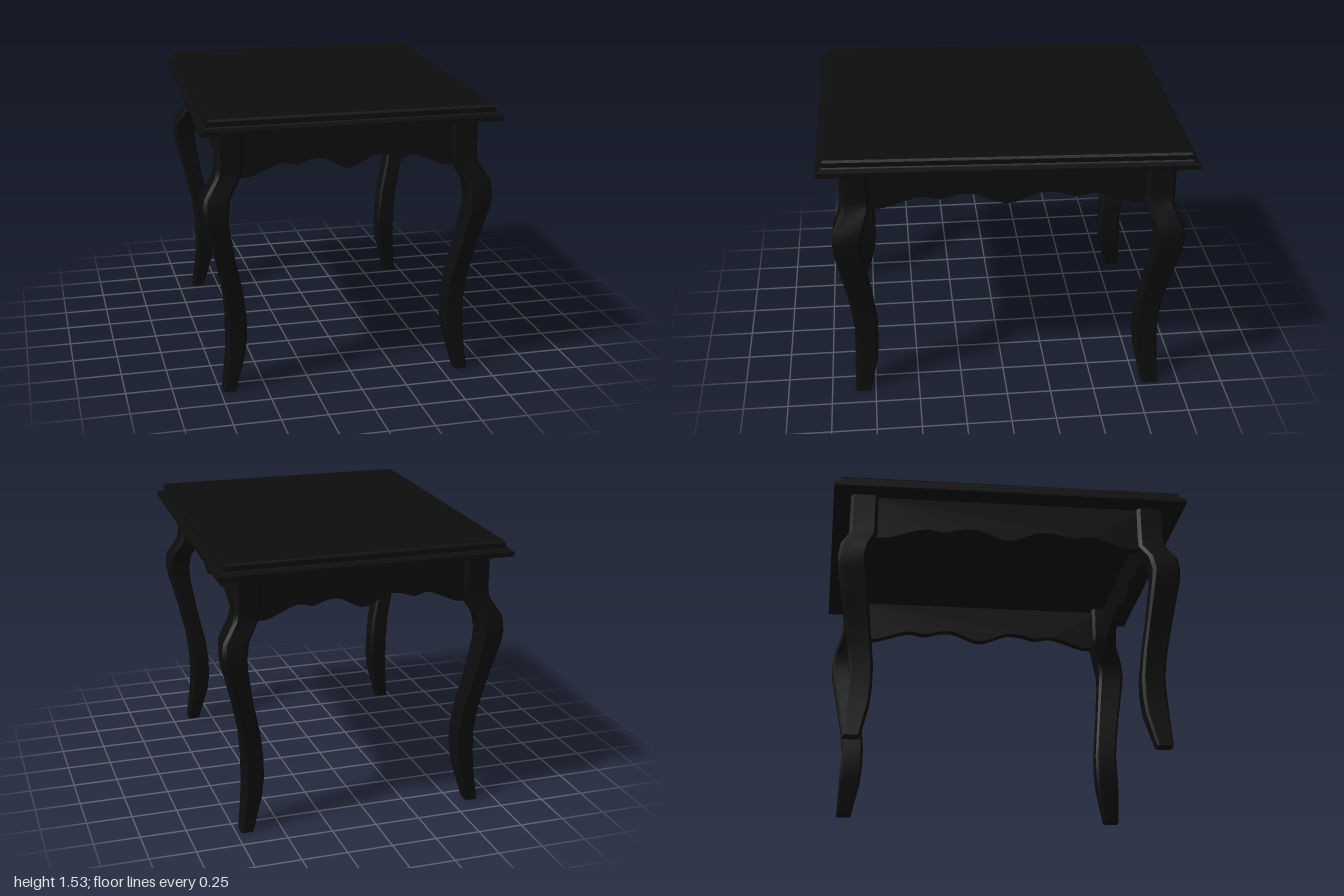
import * as THREE from 'three';
import { toCreasedNormals } from 'three/addons/utils/BufferGeometryUtils.js';

const material = new THREE.MeshStandardMaterial({ color: 0x0d0d0d });

// the whole table leans slightly out of square, seen from above
const skew = new THREE.Matrix4().set(
  1, 0, -0.0465, 0,
  0, 1, 0, 0,
  0.003, 0, 1, 0,
  0, 0, 0, 1
);

function addPart(group, name, geometry, crease = 0.6) {
  const mesh = new THREE.Mesh(toCreasedNormals(geometry.applyMatrix4(skew), crease), material);
  mesh.name = name;
  group.add(mesh);
}

// rectangle at height y, with optional chamfered corners, counter-clockwise from above
function ring(y, cx, cz, hx, hz, c = 0) {
  const flat = c > 0
    ? [[hx, hz - c], [hx, c - hz], [hx - c, -hz], [c - hx, -hz],
       [-hx, c - hz], [-hx, hz - c], [c - hx, hz], [hx - c, hz]]
    : [[hx, hz], [hx, -hz], [-hx, -hz], [-hx, hz]];
  return flat.map(([x, z]) => [cx + x, y, cz + z]);
}

// closed solid through rings listed from bottom to top
function loft(rings) {
  const n = rings[0].length;
  const index = [];
  const last = (rings.length - 1) * n;
  for (let r = 0; r < rings.length - 1; r++) {
    for (let i = 0; i < n; i++) {
      const a = r * n + i, b = r * n + (i + 1) % n;
      index.push(a, b, b + n, a, b + n, a + n);
    }
  }
  for (let i = 1; i < n - 1; i++) {
    index.push(0, i + 1, i, last, last + i, last + i + 1);
  }
  const geometry = new THREE.BufferGeometry();
  geometry.setAttribute('position', new THREE.Float32BufferAttribute(rings.flat(2), 3));
  geometry.setIndex(index);
  return geometry;
}

// curved leg: height, outer x, inner x, outer z, inner z
const legSections = [
  [0, 0.69, 0.62, 0.87, 0.782],
  [0.2, 0.665, 0.567, 0.865, 0.737],
  [0.3, 0.662, 0.554, 0.86, 0.728],
  [0.41, 0.662, 0.554, 0.856, 0.727],
  [0.56, 0.676, 0.572, 0.873, 0.742],
  [0.75, 0.716, 0.614, 0.905, 0.765],
  [0.95, 0.769, 0.647, 0.941, 0.786],
  [1.02, 0.779, 0.649, 0.946, 0.791],
  [1.1, 0.774, 0.637, 0.936, 0.775],
  [1.2, 0.711, 0.576, 0.893, 0.737],
  [1.25, 0.702, 0.561, 0.893, 0.737],
  [1.46, 0.702, 0.561, 0.893, 0.737]
];

function legGeometry(sx, sz) {
  return loft(legSections.map(([y, xo, xi, zo, zi]) => {
    const hx = (xo - xi) / 2, hz = (zo - zi) / 2;
    return ring(y, sx * (xo + xi) / 2 - 0.005, sz * (zo + zi) / 2 - 0.008, hx, hz, hx * 0.27);
  }));
}

// apron board with a scalloped lower edge; span is the visible half length
function apronGeometry(span, halfLength) {
  const half = [[0, 1.21], [0.06, 1.216], [0.22, 1.264], [0.29, 1.27], [0.37, 1.264],
    [0.48, 1.242], [0.54, 1.247], [0.61, 1.257], [0.7, 1.246], [0.9, 1.196], [1, 1.19]];
  const right = half.map(([u, y]) => new THREE.Vector2(u * span, y));
  const left = right.slice(1).reverse().map((p) => new THREE.Vector2(-p.x, p.y));
  const shape = new THREE.Shape();
  shape.moveTo(-halfLength, 1.46);
  shape.lineTo(-halfLength, 1.19);
  shape.lineTo(-span, 1.19);
  shape.splineThru([...left.slice(1), ...right]);
  shape.lineTo(halfLength, 1.19);
  shape.lineTo(halfLength, 1.46);
  shape.closePath();
  const depth = 0.05;
  return new THREE.ExtrudeGeometry(shape, { depth, bevelEnabled: false, curveSegments: 5 })
    .translate(0, 0, -depth / 2);
}

export function createModel() {
  const table = new THREE.Group();
  table.name = 'table';

  // stepped tabletop: height, inset
  const edge = [[1.45, 0], [1.475, 0], [1.485, 0.03], [1.492, 0.035], [1.518, 0.035], [1.53, 0.044]];
  addPart(table, 'tabletop',
    loft(edge.map(([y, d]) => ring(y, 0, 0, 0.798 - d, 0.9975 - d))), 0.3);

  // legs
  for (const sx of [1, -1]) {
    for (const sz of [1, -1]) {
      const name = (sz > 0 ? 'front' : 'back') + (sx > 0 ? 'Left' : 'Right') + 'Leg';
      addPart(table, name, legGeometry(sx, sz));
    }
  }

  // aprons between the legs
  for (const s of [1, -1]) {
    addPart(table, s > 0 ? 'frontApron' : 'backApron',
      apronGeometry(0.57, 0.62).translate(-0.005, 0, s * 0.835 - 0.008));
    addPart(table, s > 0 ? 'leftApron' : 'rightApron',
      apronGeometry(0.74, 0.8).rotateY(Math.PI / 2).translate(s * 0.65 - 0.005, 0, -0.008));
  }

  return table;
}
